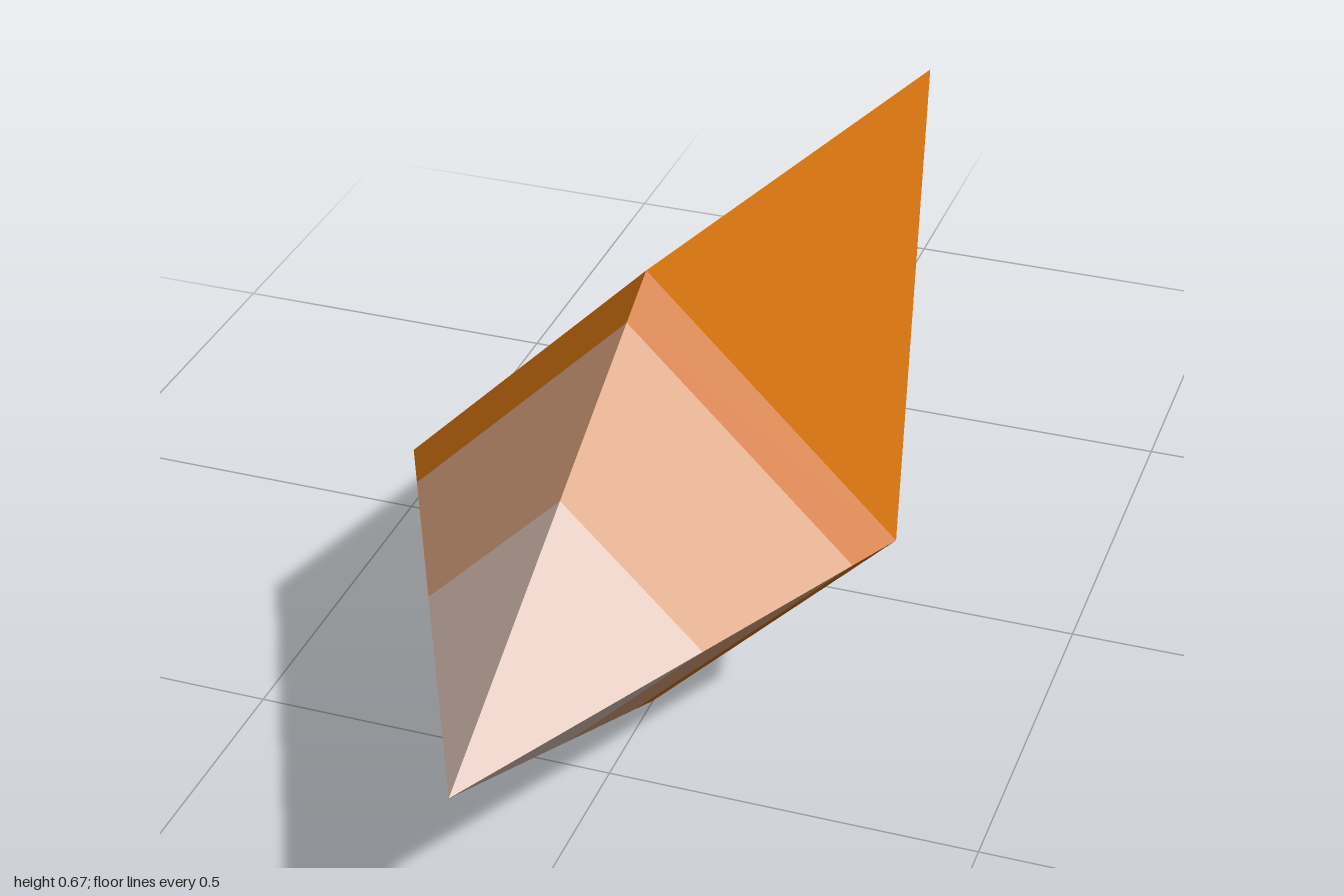
import * as THREE from 'three';

function makeMaterial(name, color) {
  const m = new THREE.MeshStandardMaterial({ color, flatShading: true });
  m.name = name;
  return m;
}

export function createModel() {
  const group = new THREE.Group();
  group.name = 'crystal';
  const orange = makeMaterial('orange', 0xcc6f0f);
  const tan = makeMaterial('tan', 0xd69e7b);
  const pale = makeMaterial('pale', 0xd9bfb3);

  const R = 1 / 3; // half width at the girdle, z = 1/3
  const radiusAt = (z) => (z > R ? (1 - z) / 2 : (1 + z) / 4);

  // four-sided band of the crystal between two depths
  function band(name, z0, z1, material) {
    const g = new THREE.CylinderGeometry(radiusAt(z1), radiusAt(z0), z1 - z0, 4, 1, true);
    g.rotateX(Math.PI / 2);
    g.translate(0, R, (z0 + z1) / 2);
    const mesh = new THREE.Mesh(g, material);
    mesh.name = name;
    group.add(mesh);
  }

  band('longTail', -1, R, orange);
  band('girdleBand', R, 0.405, orange);
  band('middleBand', 0.405, 0.64, tan);
  band('frontTip', 0.64, 1, pale);
  return group;
}
